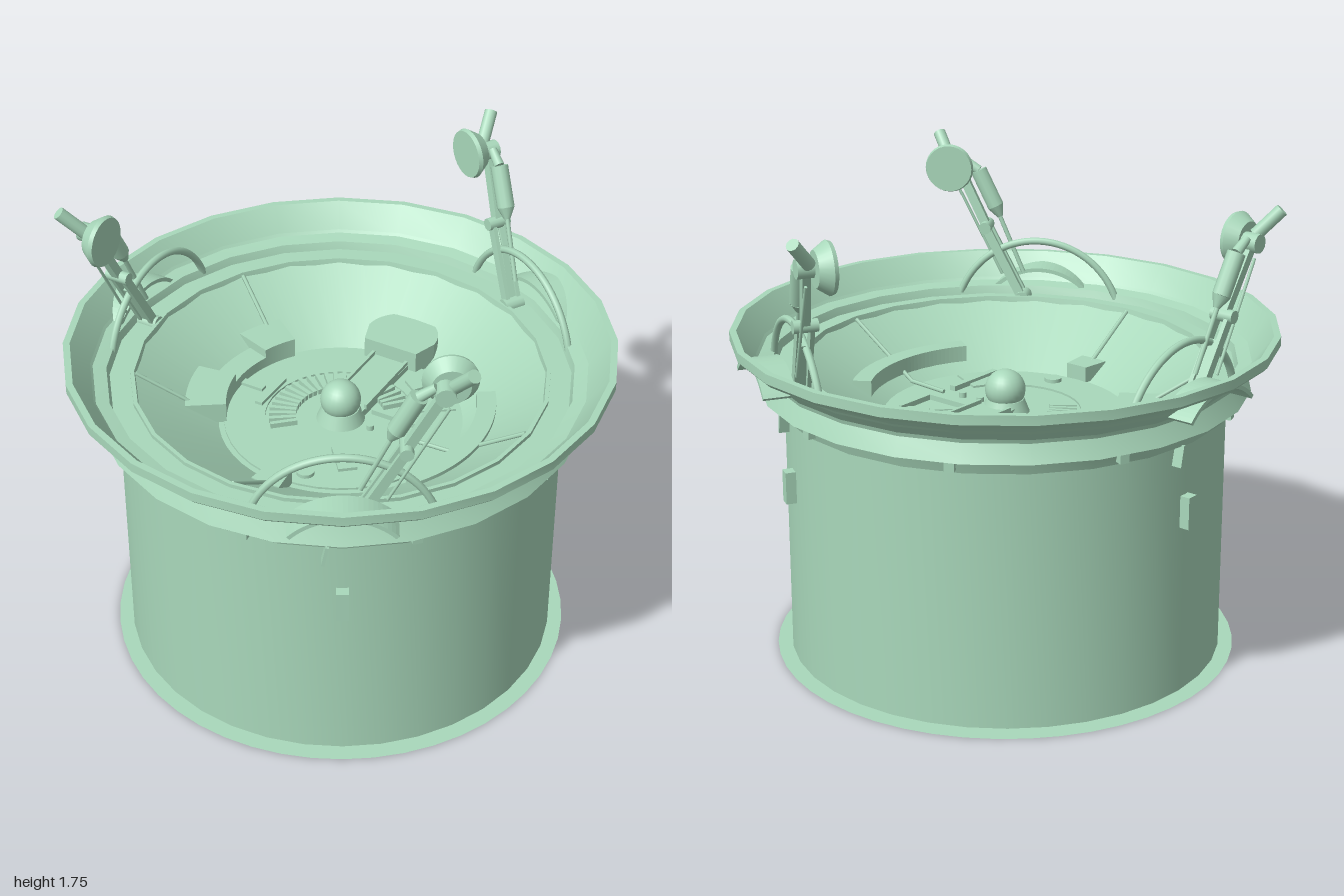
import * as THREE from 'three';
import { toCreasedNormals } from 'three/addons/utils/BufferGeometryUtils.js';

const material = new THREE.MeshStandardMaterial({ color: 0xa9d8bb, side: THREE.DoubleSide });
const V = (x, y, z) => new THREE.Vector3(x, y, z);
const rad = THREE.MathUtils.degToRad;

function add(parent, name, geometry, x = 0, y = 0, z = 0) {
  const mesh = new THREE.Mesh(geometry, material);
  mesh.name = name;
  mesh.position.set(x, y, z);
  parent.add(mesh);
  return mesh;
}

function lathe(parent, name, points, segments) {
  const geometry = new THREE.LatheGeometry(points.map(p => new THREE.Vector2(...p)), segments);
  return add(parent, name, toCreasedNormals(geometry, 0.35));
}

// Cylinder running between two points
function rod(parent, name, a, b, r0, r1 = r0, sides = 12) {
  const mesh = add(parent, name, new THREE.CylinderGeometry(r1, r0, a.distanceTo(b), sides));
  mesh.position.copy(a).lerp(b, 0.5);
  mesh.quaternion.setFromUnitVectors(V(0, 1, 0), b.clone().sub(a).normalize());
  return mesh;
}

// Square bar between two points, wide side facing the axis
function bar(parent, name, a, b, thick, width) {
  const mesh = add(parent, name, new THREE.BoxGeometry(thick, a.distanceTo(b), width));
  mesh.position.copy(a).lerp(b, 0.5);
  mesh.quaternion.setFromUnitVectors(V(0, 1, 0), b.clone().sub(a).normalize());
  return mesh;
}

// Flat plate from an x/z outline, given its top height and its depth
function plate(parent, name, shape, top, depth) {
  const geometry = new THREE.ExtrudeGeometry(shape, { depth, bevelEnabled: false, curveSegments: 16 });
  return add(parent, name, geometry.rotateX(Math.PI / 2), 0, top, 0);
}

function sector(parent, name, r0, r1, a0, a1, top, depth) {
  const shape = new THREE.Shape();
  shape.absarc(0, 0, r1, rad(a0), rad(a1), false);
  shape.absarc(0, 0, r0, rad(a1), rad(a0), true);
  return plate(parent, name, shape, top, depth);
}

function buildShell(group) {
  lathe(group, 'body', [[0, 0.012], [0.812, 0.012], [0.812, 0.98]], 36);
  add(group, 'basePlate', new THREE.CircleGeometry(0.865, 48).rotateX(Math.PI / 2));
  lathe(group, 'rim', [
    [0.81, 0.975], [0.84, 0.975], [0.86, 1.03], [0.9, 1.03], [0.87, 1.095], [0.875, 1.11],
    [0.94, 1.19], [0.985, 1.19], [1, 1.205], [1, 1.24], [0.975, 1.24], [0.9, 1.14], [0.85, 1.13],
    [0.84, 1.1], [0.765, 1.1], [0.765, 1.115], [0.75, 1.115], [0.745, 1.09]], 24);
  lathe(group, 'bowl', [[0.75, 1.1], [0.45, 0.9], [0, 0.9]], 48);
  // Clips under the flange
  for (let i = 0; i < 9; i++) {
    const a = rad(i * 40 + 83);
    const clip = add(group, 'flangeClip', new THREE.BoxGeometry(0.03, 0.045, 0.035),
      0.855 * Math.cos(a), 1.01, 0.855 * Math.sin(a));
    clip.rotation.y = -a;
  }
}

function buildBowlDetails(group) {
  // Ribs lying along the bowl's slope
  for (const [angle, inner] of [[0, 0.3], [90, 0.5], [150, 0.5], [210, 0.5]]) {
    const a = rad(angle);
    const at = r => V(r * Math.cos(a), 0.908 + Math.max(0, r - 0.45) * 0.667, r * Math.sin(a));
    rod(group, 'bowlRib', at(Math.max(inner, 0.46)), at(0.745), 0.008, 0.008, 6);
    if (inner < 0.45) rod(group, 'floorRib', at(inner), at(0.46), 0.008, 0.008, 6);
  }
  // Raised steps around the floor
  sector(group, 'rightConsole', 0.5, 0.57, -33, 33, 0.995, 0.08);
  sector(group, 'sideStep', 0.42, 0.51, 172, 198, 0.95, 0.05);
  sector(group, 'sideStep', 0.42, 0.57, 198, 216, 0.985, 0.08);
  sector(group, 'sideStep', 0.42, 0.57, 146, 172, 0.985, 0.08);
  sector(group, 'floorDisc', 0.28, 0.43, 25, 325, 0.908, 0.01);
  sector(group, 'frontStep', 0.43, 0.54, 84, 96, 0.965, 0.06);

  // Rounded housing and channel at the back
  const housing = new THREE.Shape();
  housing.absarc(0, -0.47, 0.14, Math.PI, 0, false);
  housing.lineTo(0.11, -0.38);
  housing.lineTo(-0.11, -0.38);
  plate(group, 'backHousing', housing, 0.99, 0.09);
  const channel = new THREE.Shape();
  channel.absarc(0, -0.45, 0.08, Math.PI, 0, false);
  channel.lineTo(0.07, 0);
  channel.lineTo(-0.07, 0);
  plate(group, 'channel', channel, 0.93, 0.03);
  for (const side of [-1, 1])
    add(group, 'channelRail', new THREE.BoxGeometry(0.012, 0.02, 0.38), side * 0.07, 0.935, -0.25);

  // Centre ball on its pedestal
  add(group, 'pedestal', new THREE.CylinderGeometry(0.07, 0.09, 0.05, 24), 0, 0.925, 0);
  add(group, 'centreBall', new THREE.SphereGeometry(0.075, 24, 16), 0, 0.985, 0);

  // Fan of radial slats
  for (let i = 0; i < 24; i++) {
    const a = rad(-48 - i * 7.6);
    const slat = add(group, 'fanSlat', new THREE.BoxGeometry(0.1, 0.02, 0.016),
      0.215 * Math.cos(a), 0.91, 0.215 * Math.sin(a));
    slat.rotation.y = -a;
  }

  // Small floor fittings: name, width, depth, x, z, turn
  for (const [name, w, d, x, z, turn] of [
    ['floorBracket', 0.22, 0.012, 0.2, -0.08, 0], ['floorBracket', 0.012, 0.17, 0.3, -0.16, 0],
    ['floorBar', 0.025, 0.25, 0.295, 0.17, 0], ['floorHatch', 0.07, 0.14, 0.14, 0.22, 40],
    ['floorTab', 0.12, 0.03, -0.39, 0, 0], ['floorTab', 0.03, 0.18, -0.3, 0, 0],
    ['floorTab', 0.07, 0.12, 0.17, -0.33, -35]]) {
    add(group, name, new THREE.BoxGeometry(w, 0.02, d), x, 0.91, z).rotation.y = rad(turn);
  }
  for (const [r, x, z] of [[0.033, 0.06, 0.36], [0.014, 0.13, 0.01], [0.014, 0.215, 0.01]])
    add(group, 'floorKnob', new THREE.CylinderGeometry(r, r, 0.02, 16), x, 0.912, z);
}

// One lamp arm with its arch, hood and outside fittings, on the -x side
function buildStation() {
  const g = new THREE.Group();
  g.name = 'lampStation';

  const arch = new THREE.TorusGeometry(0.33, 0.014, 8, 32, rad(144));
  arch.rotateZ(rad(18)).rotateY(Math.PI / 2);
  add(g, 'arch', arch, -0.785, 1.0, 0).rotation.z = 0.04;

  // Curved hood passing through the rim's cone
  const hood = new THREE.Shape();
  hood.absarc(0, 0, 0.26, rad(44), rad(136), false);
  hood.absarc(0, 0, 0.245, rad(136), rad(44), true);
  const hoodGeometry = new THREE.ExtrudeGeometry(hood, { depth: 0.12, bevelEnabled: false });
  add(g, 'hood', hoodGeometry.rotateY(-Math.PI / 2), -0.84, 0.945, 0);

  // Lower twin links and upper arm
  const foot = V(-0.79, 1.08, 0.05), elbow = V(-0.81, 1.38, 0.21), head = V(-0.835, 1.62, 0.33);
  for (const s of [-1, 1]) {
    const shift = V(s * 0.024, 0, 0);
    bar(g, 'lowerLink', foot.clone().add(shift), elbow.clone().add(shift), 0.016, 0.035);
  }
  bar(g, 'lowerSpine', foot, V(-0.81, 1.3, 0.165), 0.03, 0.02);
  bar(g, 'upperArm', elbow, head, 0.03, 0.035);
  rod(g, 'elbowPin', V(-0.855, 1.38, 0.21), V(-0.765, 1.38, 0.21), 0.024);
  rod(g, 'headPin', V(-0.87, 1.62, 0.33), V(-0.79, 1.62, 0.33), 0.035);
  rod(g, 'footPin', V(-0.83, 1.1, 0.06), V(-0.75, 1.1, 0.06), 0.03);

  // Piston beside the upper arm
  const low = V(-0.82, 1.46, 0.175), high = V(-0.83, 1.6, 0.245);
  rod(g, 'pistonBarrel', low, high, 0.033);
  rod(g, 'pistonNose', V(-0.815, 1.42, 0.155), low, 0.012, 0.033);
  rod(g, 'pistonRod', V(-0.8, 1.2, 0.06), low, 0.009, 0.009, 8);
  rod(g, 'pistonTop', high, V(-0.835, 1.64, 0.3), 0.02, 0.016);
  rod(g, 'cable', V(-0.83, 1.18, 0.15), V(-0.84, 1.56, 0.345), 0.006, 0.006, 6);

  // Lamp facing inward, with its rear stub
  rod(g, 'lampDish', V(-0.81, 1.62, 0.35), V(-0.765, 1.62, 0.35), 0.065, 0.095, 28);
  rod(g, 'lampFace', V(-0.765, 1.62, 0.35), V(-0.75, 1.62, 0.35), 0.095, 0.09, 28);
  rod(g, 'lampStub', V(-0.83, 1.64, 0.36), V(-0.9, 1.73, 0.415), 0.024);

  // Fittings on the outer wall
  add(g, 'wallBox', new THREE.BoxGeometry(0.045, 0.12, 0.045), -0.826, 0.715, 0);
  const half = new THREE.CylinderGeometry(0.06, 0.06, 0.012, 20, 1, false, Math.PI / 2, Math.PI);
  add(g, 'wallTab', half.rotateX(Math.PI / 2).rotateY(Math.PI / 2), -0.815, 0.975, 0);
  add(g, 'wallFin', new THREE.BoxGeometry(0.04, 0.08, 0.012), -0.825, 0.94, -0.06).rotation.x = 0.2;
  return g;
}

export function createModel() {
  const model = new THREE.Group();
  model.name = 'lampBasin';
  buildShell(model);
  buildBowlDetails(model);
  for (let i = 0; i < 3; i++) {
    const station = buildStation();
    station.rotation.y = i * Math.PI * 2 / 3;
    model.add(station);
  }
  return model;
}
